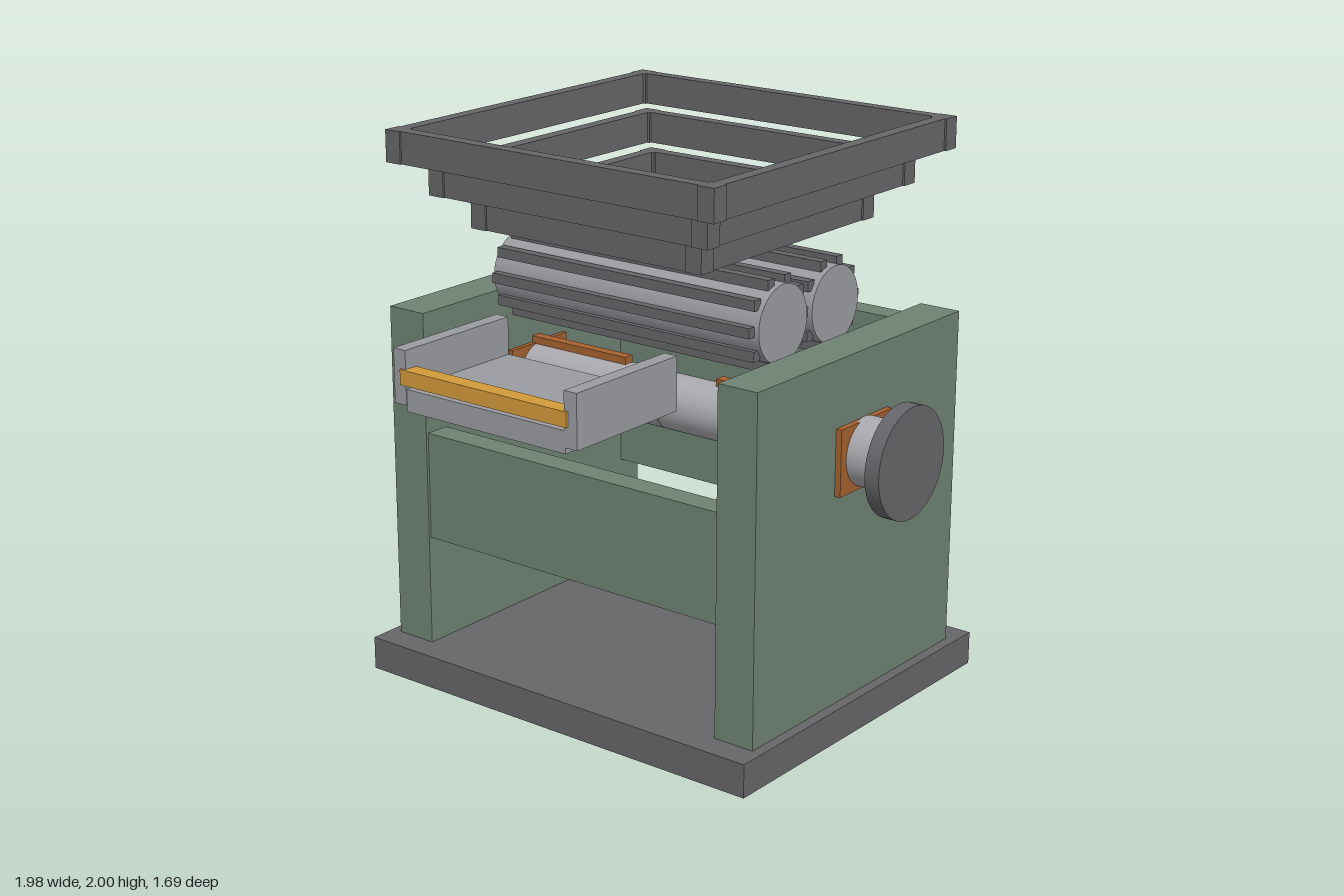
import * as THREE from 'three';

const material = (name, color) => {
  const m = new THREE.MeshStandardMaterial({ color });
  m.name = name;
  return m;
};

export function createModel() {
  const green = material('greenPaint', 0x6f8273);
  const dark = material('darkSteel', 0x666569);
  const steel = material('steel', 0x9b9ca1);
  const pale = material('polishedSteel', 0xa9a9ae);
  const bronze = material('bronze', 0xa5612f);
  const gold = material('brass', 0xd29b3b);

  const model = new THREE.Group();
  model.name = 'rollerMill';
  const CZ = -0.153; // depth of the machine's centre plane

  // Box given by its extents on each axis
  const box = (name, mat, [x0, x1], [y0, y1], [z0, z1], parent = model) => {
    const mesh = new THREE.Mesh(new THREE.BoxGeometry(x1 - x0, y1 - y0, z1 - z0), mat);
    mesh.position.set((x0 + x1) / 2, (y0 + y1) / 2, (z0 + z1) / 2);
    mesh.name = name;
    parent.add(mesh);
    return mesh;
  };
  // Cylinder lying along x
  const rod = (name, mat, r, [x0, x1], y, z, parent = model) => {
    const mesh = new THREE.Mesh(new THREE.CylinderGeometry(r, r, x1 - x0, 48).rotateZ(Math.PI / 2), mat);
    mesh.position.set((x0 + x1) / 2, y, z);
    mesh.name = name;
    parent.add(mesh);
    return mesh;
  };
  const span = (s, a, b) => (s > 0 ? [a, b] : [-b, -a]);

  // Base and housing
  box('base', dark, [-0.828, 0.828], [0, 0.12], [-0.841, 0.535]);
  box('backPanel', green, [-0.64, 0.64], [0.52, 1.308], [-0.732, -0.64]);
  box('frontPanel', green, [-0.64, 0.64], [0.52, 0.91], [0.335, 0.427]);

  for (const s of [1, -1]) {
    const side = s > 0 ? 'left' : 'right';
    box(side + 'SidePanel', green, span(s, 0.635, 0.79), [0.12, 1.347], [-0.741, 0.437]);

    // Bearing block through the side, axle stub and hand wheel
    box(side + 'BearingBlock', bronze, span(s, 0.618, 0.812), [0.877, 1.112], [CZ - 0.15, CZ + 0.15]);
    rod(side + 'Axle', pale, 0.12, span(s, 0.8, 0.937), 1, CZ);
    rod(side + 'HandWheel', dark, 0.196, span(s, 0.935, 0.99), 0.995, CZ);
    for (let i = 0; i < 4; i++) {
      const a = Math.PI / 4 + i * Math.PI / 2;
      rod(side + 'WheelBolt', dark, 0.015, span(s, 0.915, 0.937),
        1 + Math.sin(a) * 0.14 * 0.9, CZ + Math.cos(a) * 0.14 * 0.9);
    }

    // Lower roll half and its scraper strip
    rod(side + 'LowerRoll', pale, 0.1, span(s, 0.002, 0.625), 1.01, CZ);
    box(side + 'ScraperStrip', bronze, span(s, 0.2, 0.637), [1.108, 1.135], [CZ - 0.02, CZ + 0.02]);
  }

  // Pair of toothed feed rolls
  for (const [name, z] of [['frontFeedRoll', 0], ['backFeedRoll', -0.3]]) {
    const roll = new THREE.Group();
    roll.name = name;
    model.add(roll);
    rod(name + 'Core', steel, 0.136, [-0.573, 0.573], 1.43, z, roll);
    for (let i = 0; i < 10; i++) {
      const a = i * Math.PI / 5;
      const y = 1.43 + Math.sin(a) * 0.147, tz = z + Math.cos(a) * 0.147;
      box('tooth', dark, [-0.555, 0.555], [y - 0.018, y + 0.018], [tz - 0.018, tz + 0.018], roll);
    }
  }

  // Feed tray with side walls and front bar
  const tray = new THREE.Group();
  tray.name = 'feedTray';
  model.add(tray);
  box('trayFloor', steel, [-0.34, 0.34], [1.155, 1.232], [0.33, 0.832], tray);
  for (const s of [1, -1]) {
    box('trayWall', steel, span(s, 0.338, 0.39), [1.177, 1.365], [0.33, 0.835], tray);
  }
  box('trayBar', gold, [-0.355, 0.355], [1.247, 1.3], [0.785, 0.845], tray);

  // Stacked hopper frames, stepping in towards the bottom
  [[0.689, 1.888], [0.59, 1.77], [0.491, 1.652]].forEach(([h, y], i) => {
    const frame = new THREE.Group();
    frame.name = 'hopperFrame' + (i + 1);
    model.add(frame);
    const Y = [y, y + 0.112], o = h - 0.007, n = h - 0.055;
    for (const s of [1, -1]) {
      const [z0, z1] = span(s, n, o);
      box('frameSideBar', dark, span(s, n, o), Y, [CZ - n, CZ + n], frame);
      box('frameEndBar', dark, [-n, n], Y, [CZ + z0, CZ + z1], frame);
      for (const t of [1, -1]) {
        const [c0, c1] = span(t, h - 0.065, h);
        box('frameCorner', dark, span(s, h - 0.065, h), Y, [CZ + c0, CZ + c1], frame);
      }
    }
  });

  return model;
}
